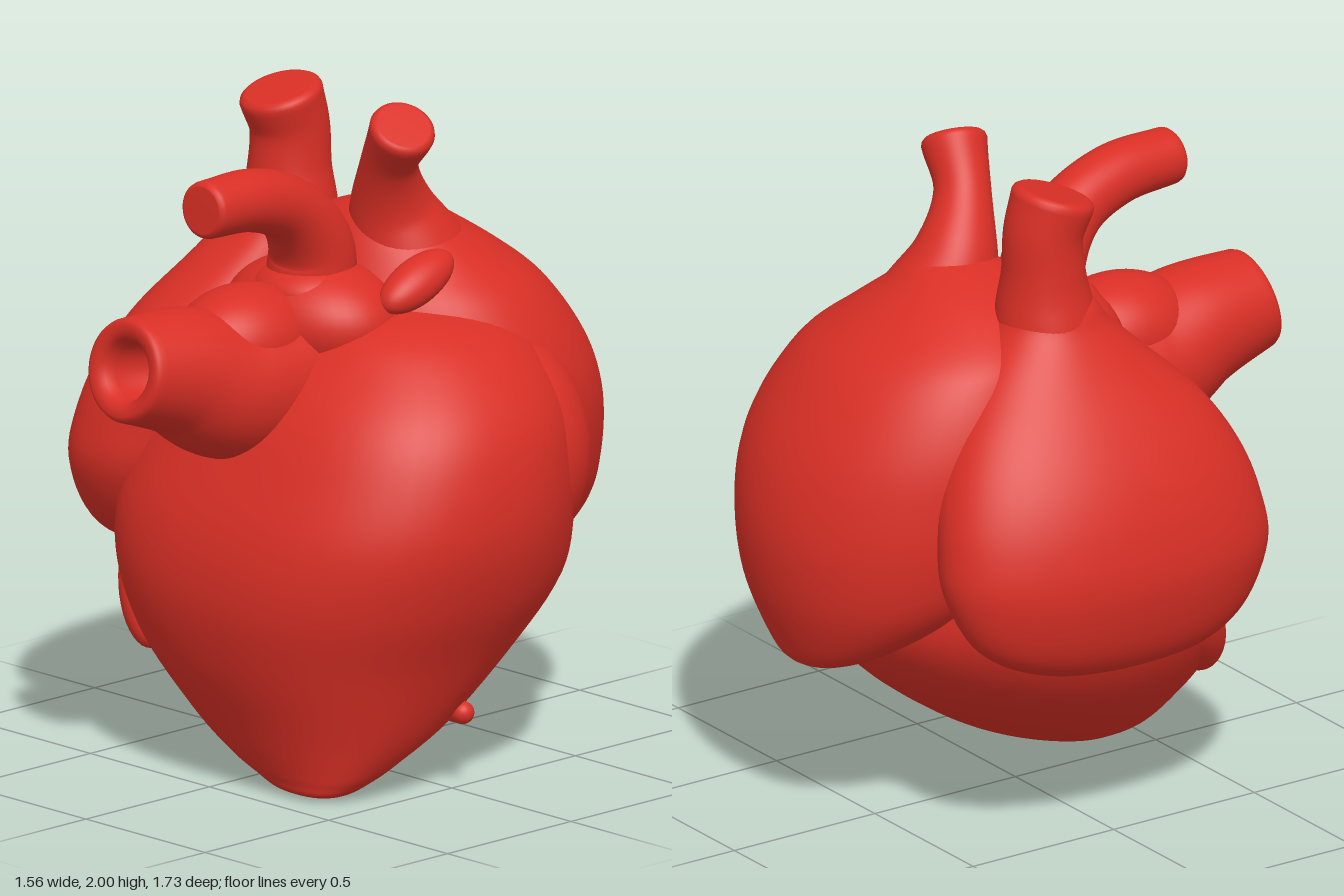
import * as THREE from 'three';

const V = (x, y, z) => new THREE.Vector3(x, y, z);
const SEG = 56;

// Joins closed rings of points into one smooth skin
function skin(rings) {
  const pos = [], idx = [];
  rings.forEach((ring) => ring.forEach((p) => pos.push(p.x, p.y, p.z)));
  for (let i = 0; i < rings.length - 1; i++) {
    for (let j = 0; j < SEG; j++) {
      const k = (j + 1) % SEG;
      const a = i * SEG + j, b = i * SEG + k, c = b + SEG, d = a + SEG;
      idx.push(a, b, c, a, c, d);
    }
  }
  const g = new THREE.BufferGeometry();
  g.setAttribute('position', new THREE.Float32BufferAttribute(pos, 3));
  g.setIndex(idx);
  g.computeVertexNormals();
  return g;
}

// Oval ring; a power above 2 makes the half towards n squarer
function ovalRing(c, n, b, rn, rb, power = 2) {
  return Array.from({ length: SEG }, (_, j) => {
    const t = (j / SEG) * Math.PI * 2, cos = Math.cos(t), sin = Math.sin(t);
    const e = cos > 0 ? power : 2;
    const k = (Math.abs(cos) ** e + Math.abs(sin) ** e) ** (-1 / e);
    return c.clone().addScaledVector(n, cos * k * rn).addScaledVector(b, sin * k * rb);
  });
}

// Chamber from level sections [y, xMin, xMax, zMin, zMax], bottom to top
function chamber(rows, frontPower = 2, steps = 6) {
  const mid = new THREE.CatmullRomCurve3(
    rows.map(([y, x0, x1, z0, z1]) => V((x0 + x1) / 2, y, (z0 + z1) / 2)), false, 'catmullrom');
  const rad = new THREE.CatmullRomCurve3(
    rows.map(([, x0, x1, z0, z1]) => V((x1 - x0) / 2, 0, (z1 - z0) / 2)), false, 'catmullrom');
  const rings = [], n = (rows.length - 1) * steps;
  for (let i = 0; i <= n; i++) {
    const c = mid.getPoint(i / n), r = rad.getPoint(i / n);
    rings.push(ovalRing(c, V(0, 0, 1), V(1, 0, 0), Math.max(r.z, 0), Math.max(r.x, 0), frontPower));
  }
  return skin(rings);
}

// Vessel along points [x, y, z, radius]; the end is a list of [offset, radius scale]
const SOLID_END = [[0.012, 0.96], [0.02, 0.87], [0.021, 0.8], [0.021, 0]];
const HOLLOW_END = [[0.012, 0.96], [0.018, 0.88], [0.016, 0.72], [0.0, 0.6], [-0.04, 0.55], [-0.2, 0.5], [-0.2, 0]];
function vessel(points, end = SOLID_END, steps = 32) {
  const path = new THREE.CatmullRomCurve3(points.map(([x, y, z]) => V(x, y, z)), false, 'catmullrom');
  const rad = new THREE.CatmullRomCurve3(points.map((p) => V(p[3], 0, 0)), false, 'catmullrom');
  const rings = [];
  const add = (t, offset, scale) => {
    const T = path.getTangent(t);
    const B = V(1, 0, 0).addScaledVector(T, -T.x).normalize();
    const N = B.clone().cross(T);
    const r = rad.getPoint(t).x * scale;
    rings.push(ovalRing(path.getPoint(t).addScaledVector(T, offset), N, B, r, r));
  };
  add(0, 0, 0);
  for (let i = 0; i <= steps; i++) add(i / steps, 0, 1);
  end.forEach(([o, s]) => add(1, o, s));
  return skin(rings);
}

export function createModel() {
  const group = new THREE.Group();
  const red = new THREE.MeshStandardMaterial({ color: 0xd92f25 });
  red.name = 'heart red';

  const add = (name, geometry) => {
    const m = new THREE.Mesh(geometry, red);
    m.name = name;
    group.add(m);
    return m;
  };
  const lump = (name, c, r, rot = [0, 0, 0]) => {
    const m = add(name, new THREE.SphereGeometry(1, 40, 28));
    m.position.set(...c);
    m.scale.set(...r);
    m.rotation.set(...rot);
    return m;
  };

  // Main body, tapering to the apex
  add('ventricles', chamber([
    [0.0, 0.28, 0.28, 0.33, 0.33],
    [0.015, 0.15, 0.38, 0.25, 0.41],
    [0.05, 0.03, 0.43, 0.15, 0.43],
    [0.1, -0.1, 0.47, 0.03, 0.45],
    [0.2, -0.27, 0.53, -0.18, 0.49],
    [0.4, -0.48, 0.62, -0.45, 0.57],
    [0.6, -0.59, 0.72, -0.6, 0.61],
    [0.8, -0.61, 0.775, -0.6, 0.585],
    [1.0, -0.53, 0.765, -0.58, 0.5],
    [1.15, -0.4, 0.71, -0.55, 0.41],
    [1.28, -0.3, 0.6, -0.48, 0.29],
    [1.36, -0.2, 0.48, -0.38, 0.19],
    [1.4, -0.05, 0.33, -0.25, 0.07],
    [1.405, 0.12, 0.12, -0.08, -0.08],
  ], 2.45));

  // Rear chamber overhanging the body, with its flush side
  add('leftAtrium', chamber([
    [0.51, 0.04, 0.04, -0.68, -0.68],
    [0.53, -0.08, 0.15, -0.76, -0.6],
    [0.6, -0.22, 0.28, -0.8, -0.43],
    [0.75, -0.38, 0.45, -0.845, -0.12],
    [0.93, -0.46, 0.54, -0.86, 0.12],
    [1.1, -0.47, 0.56, -0.83, 0.14],
    [1.25, -0.46, 0.53, -0.765, 0.12],
    [1.4, -0.42, 0.45, -0.66, 0.08],
    [1.5, -0.36, 0.34, -0.545, 0.04],
    [1.6, -0.21, 0.23, -0.385, -0.01],
    [1.66, -0.04, 0.18, -0.28, -0.07],
    [1.69, 0.09, 0.09, -0.17, -0.17],
  ]));
  lump('leftAtriumSide', [0.33, 0.96, -0.28], [0.37, 0.38, 0.27]);

  // Side chamber and the upright vein above it
  add('rightAtrium', chamber([
    [0.565, -0.59, -0.59, -0.02, -0.02],
    [0.585, -0.675, -0.48, -0.3, 0.24],
    [0.68, -0.74, -0.36, -0.5, 0.4],
    [0.85, -0.78, -0.26, -0.59, 0.485],
    [1.0, -0.765, -0.22, -0.59, 0.475],
    [1.15, -0.715, -0.18, -0.55, 0.43],
    [1.3, -0.63, -0.16, -0.47, 0.34],
    [1.45, -0.52, -0.15, -0.35, 0.19],
    [1.55, -0.45, -0.15, -0.26, 0.09],
    [1.63, -0.4, -0.17, -0.2, 0.03],
    [1.65, -0.285, -0.285, -0.085, -0.085],
  ], 2.45));
  add('uprightVein', vessel([
    [-0.31, 1.4, -0.09, 0.165],
    [-0.285, 1.58, -0.095, 0.148],
    [-0.285, 1.71, -0.1, 0.124],
    [-0.285, 1.83, -0.1, 0.118],
    [-0.29, 1.93, -0.07, 0.125],
  ]));

  // Vessel root and the vessels leaving it
  lump('vesselRoot', [0.02, 1.36, 0.1], [0.295, 0.18, 0.225]);
  lump('vesselRootTop', [0.03, 1.45, 0.12], [0.18, 0.09, 0.17]);
  add('hollowTrunk', vessel([
    [0.01, 1.2, 0.22, 0.23],
    [0.0, 1.21, 0.44, 0.222],
    [-0.01, 1.28, 0.62, 0.19],
    [-0.015, 1.32, 0.82, 0.155],
  ], HOLLOW_END));
  lump('trunkTop', [0.0, 1.33, 0.36], [0.18, 0.165, 0.24]);
  add('archedArtery', vessel([
    [0.02, 1.42, 0.11, 0.14],
    [0.035, 1.58, 0.125, 0.125],
    [0.06, 1.71, 0.24, 0.1],
    [0.08, 1.775, 0.41, 0.093],
    [0.09, 1.785, 0.6, 0.086],
  ]));
  add('tiltedVein', vessel([
    [0.1, 1.5, -0.2, 0.19],
    [0.1, 1.66, -0.14, 0.125],
    [0.155, 1.81, -0.08, 0.085],
    [0.24, 1.93, -0.05, 0.098],
  ]));

  // Small surface details
  lump('auricle', [0.29, 1.48, -0.06], [0.07, 0.06, 0.145], [0.4, 0, -0.5]);
  lump('frontRidge', [-0.4, 0.51, 0.365], [0.21, 0.09, 0.085], [0, -0.7, -0.8]);
  const nub = add('sideNub', new THREE.CapsuleGeometry(0.034, 0.1, 8, 20));
  nub.rotation.z = Math.PI / 2;
  nub.position.set(0.475, 0.23, -0.02);

  return group;
}
